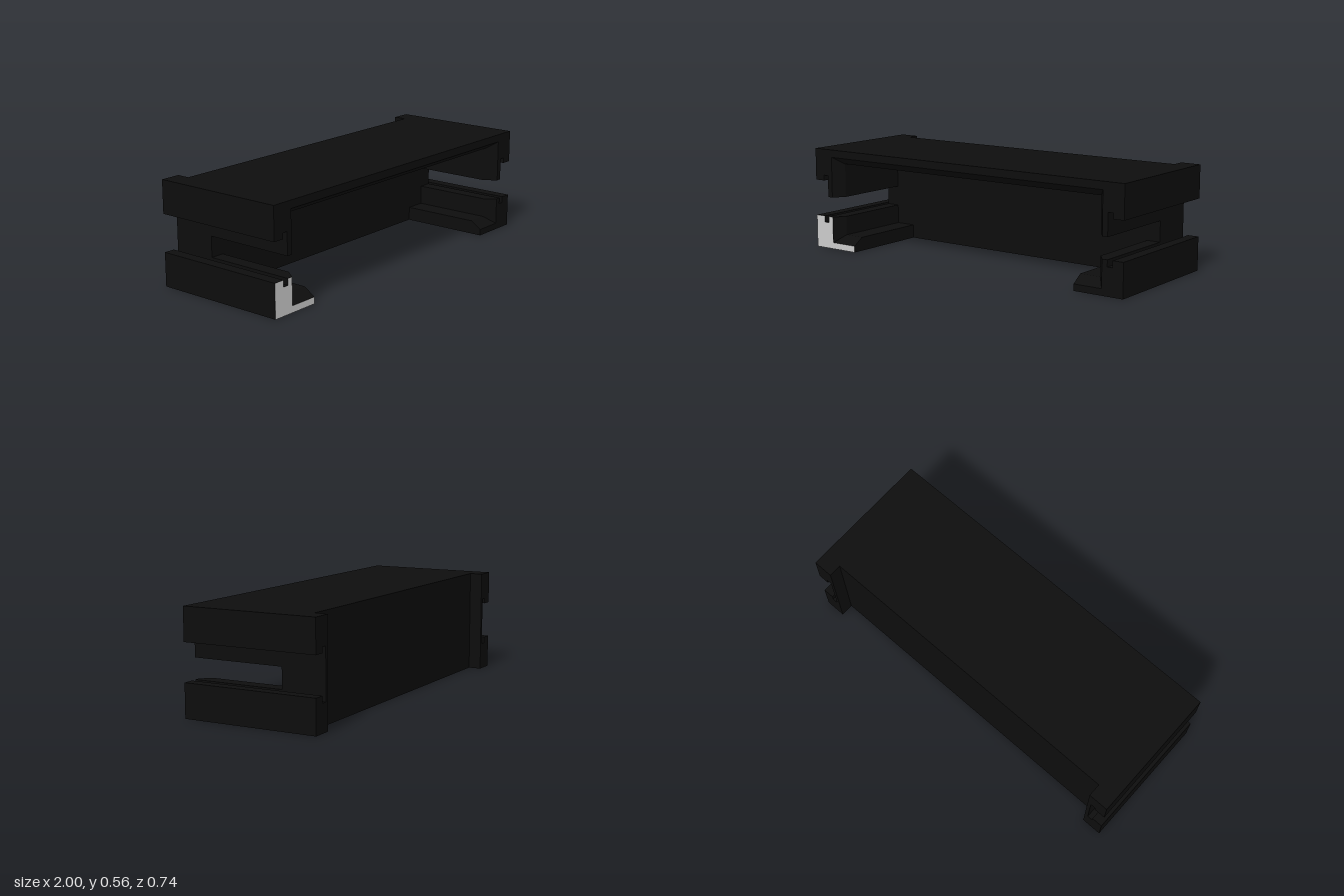
import * as THREE from 'three';

const BACK = -0.37, PANEL = -0.3, BAY = -0.13, FRONT = 0.37, MOUTH = 0.06;
const dark = new THREE.MeshStandardMaterial({ color: 0x0d0d0d, flatShading: true });
const grey = new THREE.MeshStandardMaterial({ color: 0xcccccc, flatShading: true });

const makeShape = (pts, s = 1) => new THREE.Shape(pts.map(([x, y]) => new THREE.Vector2(x * s, y)));
const mirrored = (half) => [...half, ...half.map(([x, y]) => [-x, y]).reverse()];

// Outer side profile with the undercut channel, from top to bottom
const upperSide = [[1, 0.556], [1, 0.38], [0.94, 0.38], [0.94, 0.41], [0.91, 0.41]];
const lowerSide = [[0.91, 0.145], [0.94, 0.145], [0.94, 0.18], [1, 0.18], [1, 0]];

// Front bay parts, drawn at their wide mouth
const hoodHalf = [...upperSide, [0.91, 0.29], [0.88, 0.29], [0.88, 0.515]];
const railPoints = [[1, 0], [1, 0.18], [0.94, 0.18], [0.94, 0.145], [0.91, 0.145], [0.91, 0.18],
  [0.88, 0.18], [0.88, 0.035], [0.72, 0.035], [0.72, 0]];

function prism(name, shape, z0, z1) {
  const geo = new THREE.ExtrudeGeometry(shape, { depth: z1 - z0, bevelEnabled: false });
  geo.translate(0, 0, z0);
  const mesh = new THREE.Mesh(geo, dark);
  mesh.name = name;
  return mesh;
}

// Extrusion whose inner faces funnel inward behind the mouth
function funnel(name, shape) {
  const depth = FRONT - BAY;
  const geo = new THREE.ExtrudeGeometry(shape, { depth, steps: 2, bevelEnabled: false });
  const p = geo.attributes.position;
  const near = (a, b) => Math.abs(a - b) < 1e-4;
  for (let i = 0; i < p.count; i++) {
    const x = p.getX(i), y = p.getY(i), z = p.getZ(i);
    if (near(z, depth)) continue;
    if (near(Math.abs(x), 0.88)) p.setX(i, Math.sign(x) * 0.835);
    if (near(y, 0.515)) p.setY(i, 0.475);
    if (near(y, 0.035)) p.setY(i, 0.075);
    if (near(z, depth / 2)) p.setZ(i, depth - MOUTH);
  }
  geo.translate(0, 0, BAY);
  geo.computeVertexNormals();
  const mesh = new THREE.Mesh(geo, dark);
  mesh.name = name;
  return mesh;
}

export function createModel() {
  const group = new THREE.Group();
  group.name = 'slotHousing';

  // Solid rear block and the overhanging hood in front of it
  group.add(prism('rearBlock', makeShape(mirrored([...upperSide, ...lowerSide])), PANEL, BAY));
  group.add(funnel('hood', makeShape(mirrored(hoodHalf))));

  // Lower rails and rear corner posts on both sides
  const postPoints = [...upperSide, ...lowerSide, [0.89, 0], [0.89, 0.556]];
  for (const [side, s] of [['left', 1], ['right', -1]]) {
    group.add(funnel(side + 'Rail', makeShape(railPoints, s)));
    group.add(prism(side + 'RearPost', makeShape(postPoints, s), BACK, PANEL));
  }

  // Light end face on the right rail
  const cap = new THREE.Mesh(new THREE.ShapeGeometry(makeShape(railPoints, -1)), grey);
  cap.name = 'rightRailEndCap';
  cap.position.z = FRONT + 0.001;
  group.add(cap);

  return group;
}
